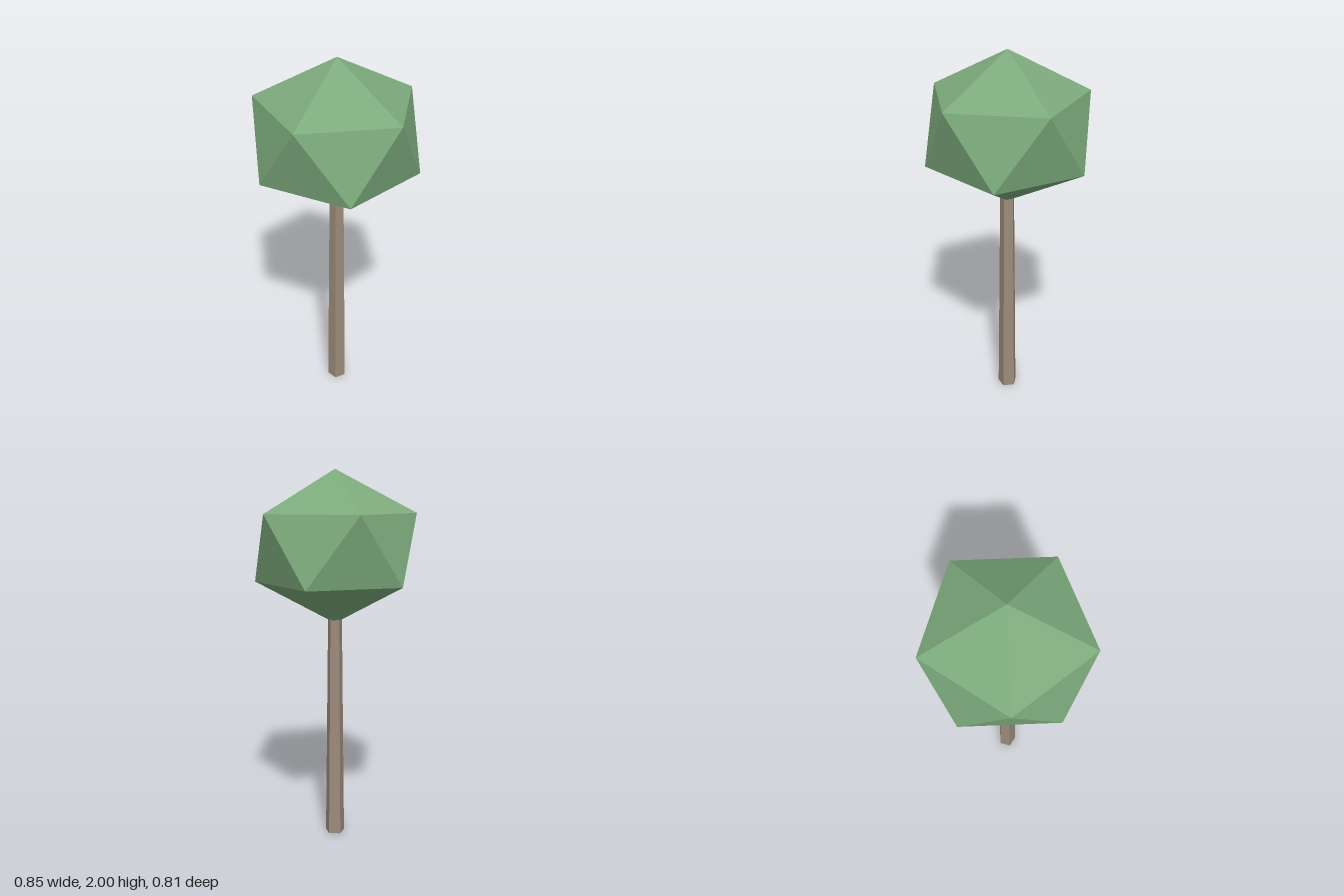
import * as THREE from 'three';
import { ConvexGeometry } from 'three/addons/geometries/ConvexGeometry.js';

export function createModel() {
  const tree = new THREE.Group();
  tree.name = 'tree';

  const leafGreen = new THREE.MeshStandardMaterial({ color: 0x7caa7c });
  leafGreen.name = 'leafGreen';
  leafGreen.flatShading = true;
  const barkBrown = new THREE.MeshStandardMaterial({ color: 0x9b8b7a });
  barkBrown.name = 'barkBrown';
  barkBrown.flatShading = true;

  // Five-sided tapering trunk, flat side to the front, its top sunk into the crown
  const trunkHeight = 1.24;
  const trunk = new THREE.Mesh(new THREE.CylinderGeometry(0.039, 0.054, trunkHeight, 5), barkBrown);
  trunk.name = 'trunk';
  trunk.rotation.y = Math.PI;
  trunk.position.y = trunkHeight / 2;
  tree.add(trunk);

  // Crown: slightly squashed icosahedron, two poles and two staggered rings of five
  const poleY = 0.4, ringY = 0.179, ringRadius = 0.424;
  const points = [new THREE.Vector3(0, poleY, 0), new THREE.Vector3(0, -poleY, 0)];
  for (let i = 0; i < 5; i++) {
    const a = (i * 2 * Math.PI) / 5;
    const x = ringRadius * Math.cos(a);
    const z = ringRadius * Math.sin(a);
    points.push(new THREE.Vector3(x, ringY, z), new THREE.Vector3(-x, -ringY, -z));
  }
  const crown = new THREE.Mesh(new ConvexGeometry(points), leafGreen);
  crown.name = 'crown';
  crown.position.y = 1.6;
  tree.add(crown);

  return tree;
}
